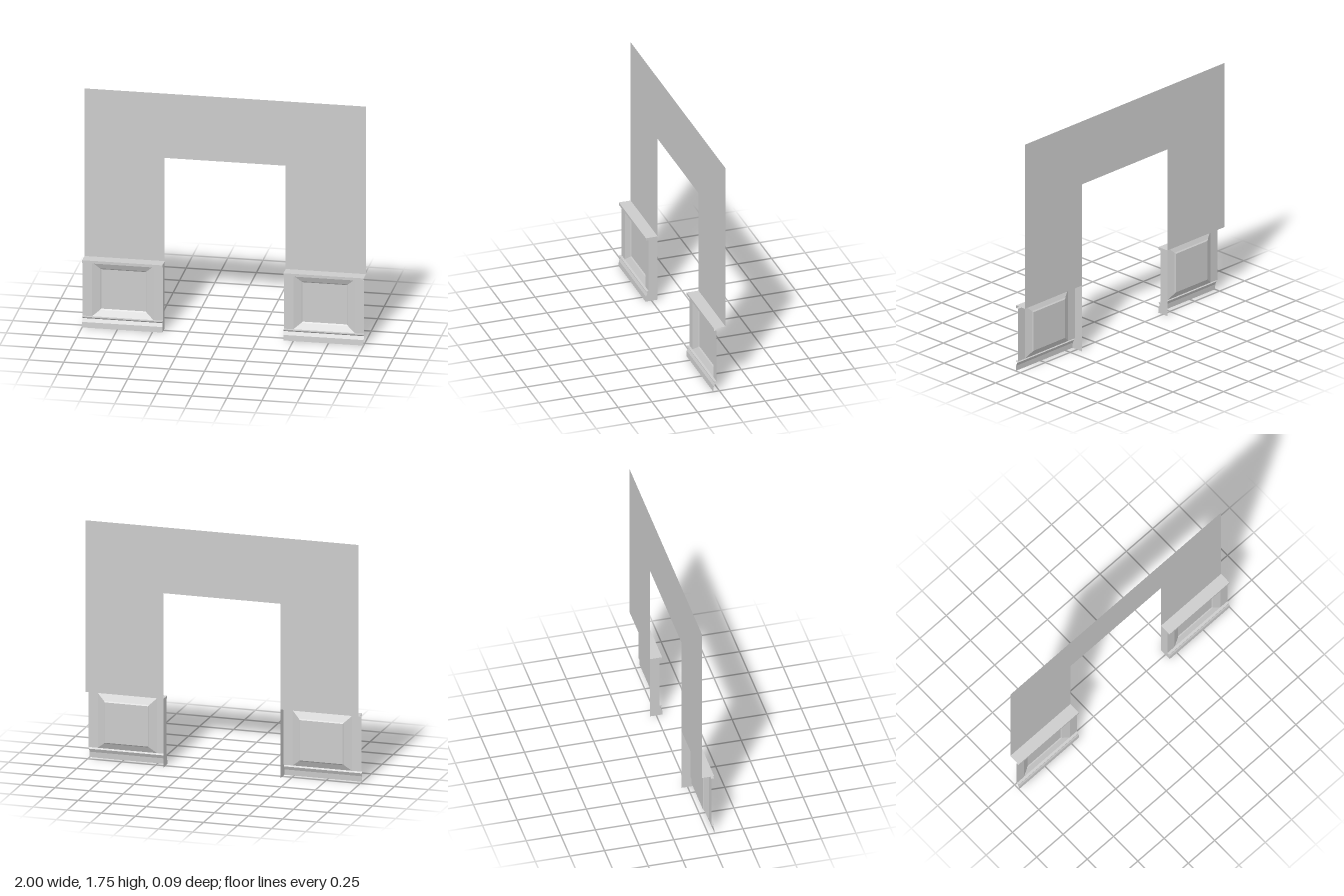
import * as THREE from 'three';

const material = new THREE.MeshStandardMaterial({ color: 0xcccccc, side: THREE.DoubleSide, flatShading: true });
const BACK = -0.045, FACE = 0.022;
const HALF = 0.285, CENTRE = 0.715; // half width and offset of each wainscot

function addMesh(parent, name, geometry) {
  const mesh = new THREE.Mesh(geometry, material);
  mesh.name = name;
  parent.add(mesh);
  return mesh;
}

// Skin between successive rows of points, optionally closing each row into a ring.
function loft(rows, closed = false) {
  const positions = [];
  for (let i = 0; i < rows.length - 1; i++) {
    const a = rows[i], b = rows[i + 1];
    const count = closed ? a.length : a.length - 1;
    for (let j = 0; j < count; j++) {
      const k = (j + 1) % a.length;
      positions.push(...a[j], ...a[k], ...b[k], ...a[j], ...b[k], ...b[j]);
    }
  }
  const geometry = new THREE.BufferGeometry();
  geometry.setAttribute('position', new THREE.Float32BufferAttribute(positions, 3));
  geometry.computeVertexNormals();
  return geometry;
}

// Open moulding: a [z, y] profile swept along x.
const moulding = (profile) => loft(profile.map(([z, y]) => [[-HALF, y, z], [HALF, y, z]]));

// Counter-clockwise rectangle of corners.
const ring = (x, y0, y1, z) => [[-x, y0, z], [x, y0, z], [x, y1, z], [-x, y1, z]];

const baseProfile = [[0.045, 0], [0.042, 0.04], [0.03, 0.065], [0.04, 0.075], [0.04, 0.08], [FACE, 0.08]];
const ledgeProfile = [[FACE, 0.48], [0.042, 0.48], [0.042, 0.5], [BACK, 0.5]];

function wainscot(side) {
  const group = new THREE.Group();
  group.name = side > 0 ? 'leftWainscot' : 'rightWainscot';
  addMesh(group, 'baseMoulding', moulding(baseProfile));
  addMesh(group, 'topLedge', moulding(ledgeProfile));

  // Upright stiles on both sides of the panel
  for (const s of [-1, 1]) {
    const stile = addMesh(group, 'stile', new THREE.PlaneGeometry(0.067, 0.4));
    stile.position.set(s * (HALF - 0.0335), 0.28, FACE);
  }

  // Bevelled surround stepping down to the sunken panel
  addMesh(group, 'panelBevel', loft([
    ring(0.218, 0.08, 0.48, FACE),
    ring(0.166, 0.122, 0.432, 0),
    ring(0.158, 0.13, 0.424, -0.007),
  ], true));
  const panel = addMesh(group, 'panel', new THREE.PlaneGeometry(0.316, 0.294));
  panel.position.set(0, 0.277, -0.007);

  // End cap toward the doorway; its x axis follows z
  const outline = [[BACK, 0], ...baseProfile, ...ledgeProfile].map(([z, y]) => new THREE.Vector2(-z, y));
  const cap = addMesh(group, 'doorwayEndCap', new THREE.ShapeGeometry(new THREE.Shape(outline)));
  cap.rotation.y = Math.PI / 2;
  cap.position.x = -side * HALF;

  group.position.x = side * CENTRE;
  return group;
}

export function createModel() {
  const model = new THREE.Group();
  model.name = 'doorwayWall';

  // Thin wall around the doorway, resting on the ledges
  const outline = [[-1, 0.5], [-0.43, 0.5], [-0.43, 1.27], [0.43, 1.27], [0.43, 0.5], [1, 0.5], [1, 1.75], [-1, 1.75]];
  const shape = new THREE.Shape(outline.map(([x, y]) => new THREE.Vector2(x, y)));
  addMesh(model, 'wall', new THREE.ShapeGeometry(shape)).position.z = BACK;

  for (const side of [-1, 1]) model.add(wainscot(side));
  return model;
}
